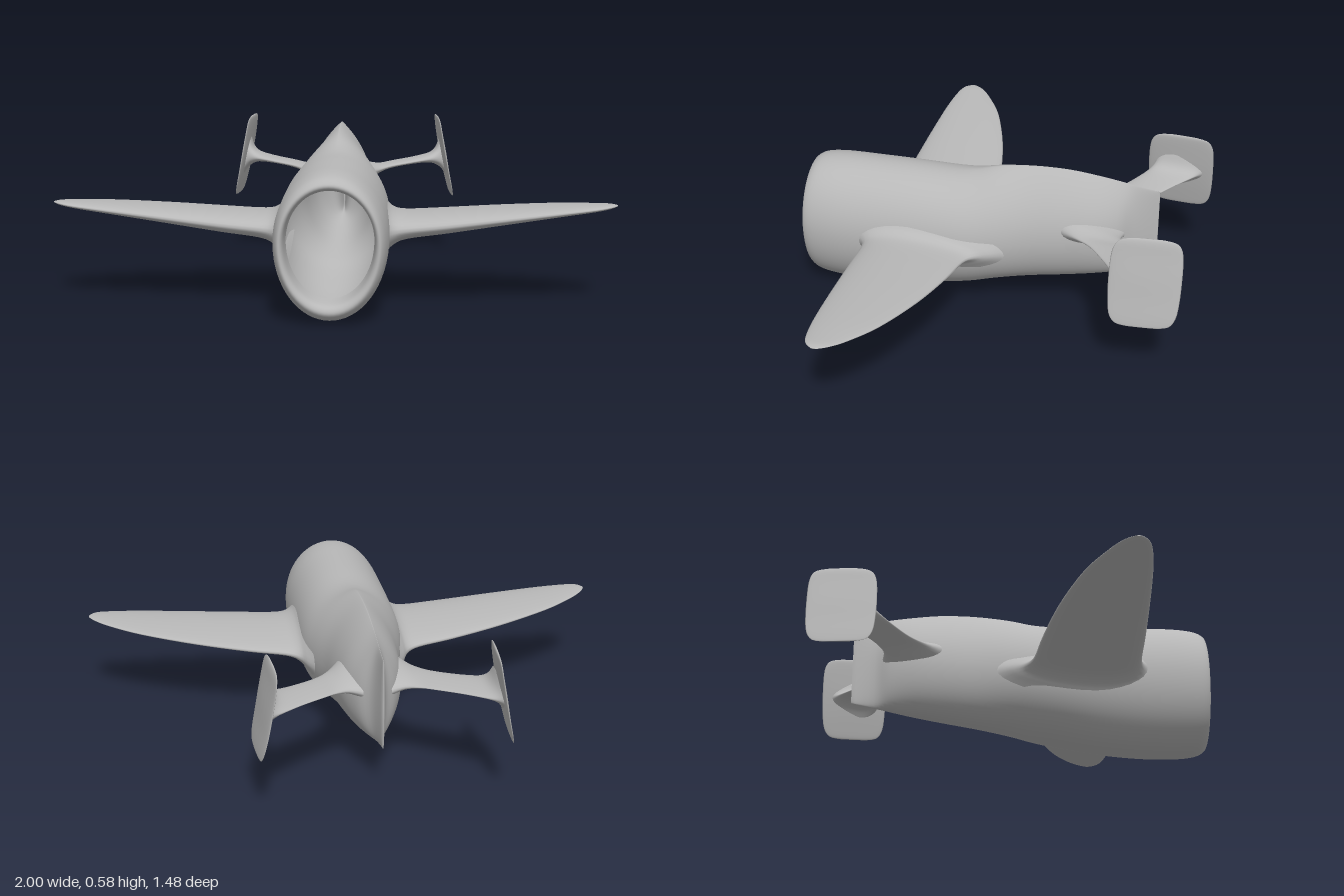
import * as THREE from 'three';

const metal = new THREE.MeshStandardMaterial({ color: 0xb8b8b8, side: THREE.DoubleSide });
metal.name = 'plain grey';

// Catmull-Rom blend of four numbers
function spline(a, b, c, d, t) {
  const quad = 2 * a - 5 * b + 4 * c - d;
  const cubic = 3 * (b - c) + d - a;
  return b + 0.5 * t * (c - a + t * (quad + t * cubic));
}

// Smoothly resample every column of a table of stations
function resample(rows, steps) {
  const last = rows.length - 1;
  const out = [];
  for (let i = 0; i < last; i++) {
    const p0 = rows[Math.max(i - 1, 0)];
    const p1 = rows[i];
    const p2 = rows[i + 1];
    const p3 = rows[Math.min(i + 2, last)];
    for (let s = 0; s < steps; s++) {
      out.push(p1.map((v, k) => spline(p0[k], v, p2[k], p3[k], s / steps)));
    }
  }
  out.push(rows[last]);
  return out;
}

// Skin closed rings of points; optionally close the ends
function loft(name, rings, flip, capStart, capEnd) {
  const n = rings[0].length;
  const pos = rings.flat(2);
  const idx = [];
  const tri = (a, b, c) => {
    if (flip) idx.push(a, c, b);
    else idx.push(a, b, c);
  };
  for (let r = 0; r < rings.length - 1; r++) {
    for (let j = 0; j < n; j++) {
      const a = r * n + j;
      const b = r * n + (j + 1) % n;
      tri(a, b, a + n);
      tri(b, b + n, a + n);
    }
  }
  const cap = (r, atEnd) => {
    const centre = pos.length / 3;
    for (let d = 0; d < 3; d++) {
      pos.push(rings[r].reduce((sum, p) => sum + p[d], 0) / n);
    }
    for (let j = 0; j < n; j++) {
      const a = r * n + j;
      const b = r * n + (j + 1) % n;
      if (atEnd) tri(a, b, centre);
      else tri(b, a, centre);
    }
  };
  if (capStart) cap(0, false);
  if (capEnd) cap(rings.length - 1, true);
  const g = new THREE.BufferGeometry();
  g.setAttribute('position', new THREE.Float32BufferAttribute(pos, 3));
  g.setIndex(idx);
  g.computeVertexNormals();
  const mesh = new THREE.Mesh(g, metal);
  mesh.name = name;
  return mesh;
}

// Closed ring of points from a function of cosine and sine
function ring(n, fn) {
  return Array.from({ length: n }, (_, j) => {
    const a = (j / n) * Math.PI * 2;
    return fn(Math.cos(a), Math.sin(a));
  });
}

// Hollow body: z, half width, bottom, widest height, top, ridge sharpness
const bodyStations = [
  [0.66, 0.15, 0.08, 0.28, 0.452, 0.5],
  [0.72, 0.155, 0.07, 0.28, 0.46, 0.5],
  [0.74, 0.165, 0.052, 0.275, 0.472, 0.5],
  [0.735, 0.178, 0.032, 0.275, 0.488, 0.5],
  [0.7, 0.19, 0.012, 0.27, 0.506, 0.5],
  [0.62, 0.198, 0.002, 0.27, 0.515, 0.5],
  [0.5, 0.2, 0.002, 0.27, 0.516, 0.5],
  [0.35, 0.2, 0.015, 0.275, 0.516, 0.5],
  [0.2, 0.198, 0.04, 0.28, 0.516, 0.52],
  [0.1, 0.19, 0.06, 0.285, 0.53, 0.62],
  [0, 0.168, 0.085, 0.295, 0.558, 0.75],
  [-0.12, 0.138, 0.108, 0.31, 0.574, 0.85],
  [-0.25, 0.122, 0.13, 0.325, 0.577, 0.9],
  [-0.36, 0.105, 0.15, 0.34, 0.567, 0.95],
  [-0.45, 0.07, 0.168, 0.35, 0.554, 1],
  [-0.51, 0.025, 0.18, 0.36, 0.543, 0.8],
  [-0.595, 0.005, 0.2, 0.365, 0.53, 0.5],
];

// Wing: x, front z, rear z, height, half thickness, slant
const wingStations = [
  [0.165, 0.57, -0.05, 0.27, 0.135, 0],
  [0.185, 0.53, -0.005, 0.27, 0.1, 0],
  [0.21, 0.495, 0.05, 0.272, 0.07, 0],
  [0.26, 0.477, 0.082, 0.278, 0.05, 0],
  [0.4, 0.473, 0.105, 0.292, 0.042, 0],
  [0.6, 0.465, 0.15, 0.315, 0.031, 0],
  [0.8, 0.453, 0.22, 0.338, 0.02, 0],
  [0.92, 0.438, 0.29, 0.351, 0.013, 0],
  [0.975, 0.42, 0.335, 0.358, 0.008, 0],
  [1, 0.392, 0.372, 0.36, 0.002, 0],
];

// Tailplane arm, flaring into the body and into the end fin
const tailStations = [
  [0.05, -0.2, -0.48, 0.36, 0.07, 0],
  [0.1, -0.23, -0.475, 0.37, 0.045, 0],
  [0.15, -0.31, -0.5, 0.378, 0.018, 0],
  [0.2, -0.375, -0.54, 0.385, 0.012, 0],
  [0.28, -0.435, -0.6, 0.392, 0.012, 0],
  [0.35, -0.48, -0.66, 0.398, 0.02, 0.1],
  [0.385, -0.5, -0.69, 0.4, 0.045, 0.2],
  [0.405, -0.51, -0.71, 0.4, 0.085, 0.2],
];

// End fin: height, front z, rear z, x, half thickness
const finStations = [
  [0.238, -0.56, -0.67, 0.444, 0.002],
  [0.247, -0.52, -0.71, 0.442, 0.004],
  [0.28, -0.498, -0.732, 0.435, 0.006],
  [0.34, -0.49, -0.74, 0.422, 0.008],
  [0.42, -0.488, -0.742, 0.407, 0.01],
  [0.5, -0.492, -0.74, 0.393, 0.008],
  [0.54, -0.505, -0.73, 0.387, 0.007],
  [0.558, -0.53, -0.71, 0.384, 0.005],
  [0.565, -0.57, -0.67, 0.383, 0.002],
];

// Egg-shaped slice whose upper half narrows into a ridge
function bodySlice([z, w, bottom, mid, top, ridge]) {
  return ring(64, (c, s) => {
    const power = s > 0 ? 2 * ridge : 1;
    const reach = s > 0 ? top - mid : mid - bottom;
    return [Math.sign(c) * w * Math.pow(Math.abs(c), power), mid + s * reach, z];
  });
}

// Rounded front and thinner rear edge
function aerofoil([x, zf, zr, y, t, slant], side) {
  return ring(32, (c, s) => {
    const dy = t * s * (0.85 + 0.25 * c);
    return [side * (x - slant * dy), y + dy, (zf + zr) / 2 + (c * (zf - zr)) / 2];
  });
}

// Fin slices are turned slightly inward at the rear
function finSlice([y, zf, zr, x, t], side) {
  return ring(28, (c, s) => {
    const z = (zf + zr) / 2 + (c * (zf - zr)) / 2;
    return [side * (x + t * s + 0.08 * (z + 0.615)), y, z];
  });
}

export function createModel() {
  const model = new THREE.Group();
  model.name = 'aircraft';
  model.add(loft('fuselage', resample(bodyStations, 4).map(bodySlice), true, false, true));

  for (const side of [1, -1]) {
    const label = side > 0 ? 'left' : 'right';
    const wing = resample(wingStations, 4).map((r) => aerofoil(r, side));
    const tail = resample(tailStations, 4).map((r) => aerofoil(r, side));
    const fin = resample(finStations, 3).map((r) => finSlice(r, side));
    model.add(loft(label + 'Wing', wing, side > 0, false, true));
    model.add(loft(label + 'Tailplane', tail, side > 0, false, false));
    model.add(loft(label + 'Fin', fin, side < 0, true, true));
  }
  return model;
}
